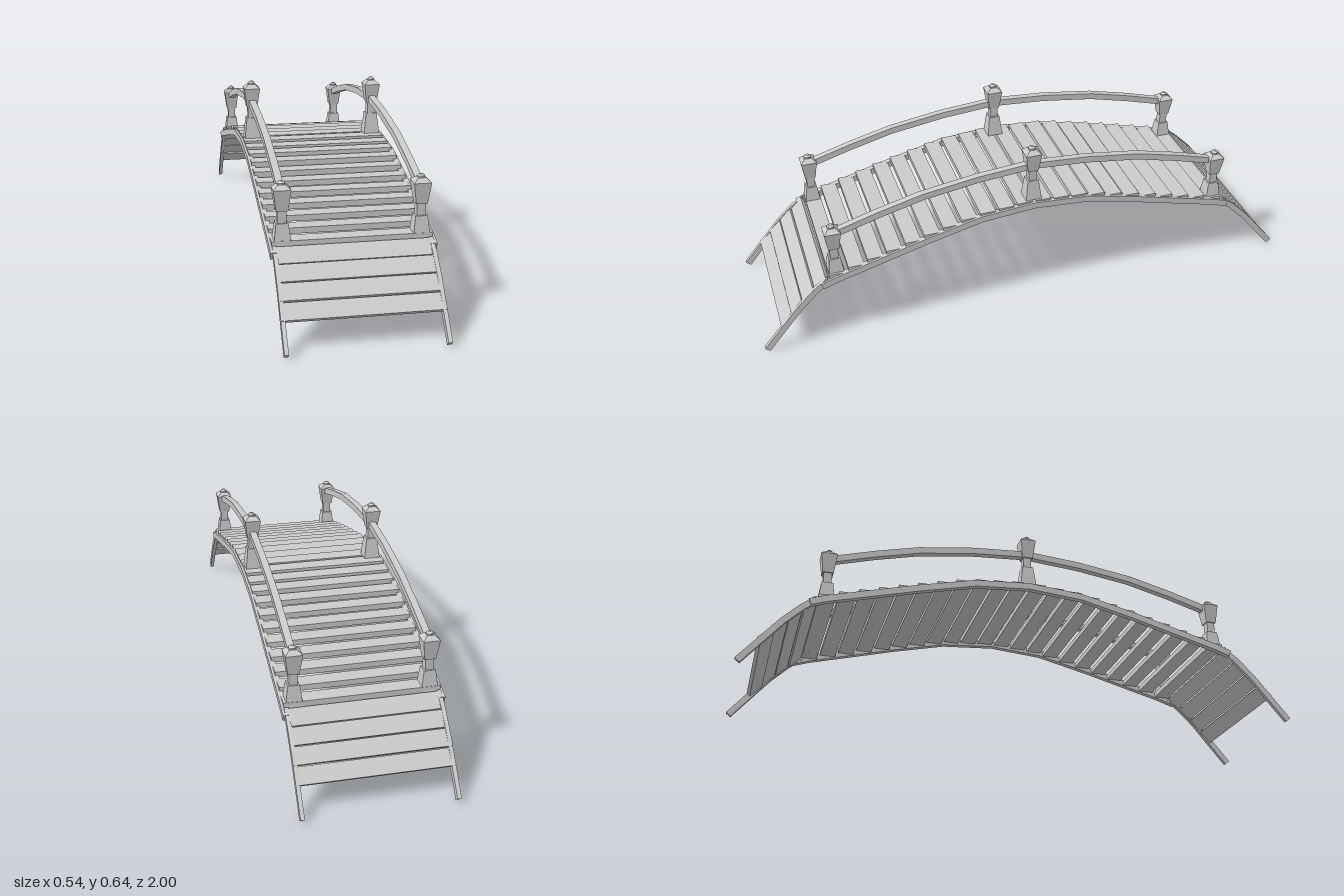
import * as THREE from 'three';

const material = new THREE.MeshStandardMaterial({ color: 0xcccccc, flatShading: true });

function add(parent, name, geometry, x = 0, y = 0, z = 0) {
  const mesh = new THREE.Mesh(geometry, material);
  mesh.name = name;
  mesh.position.set(x, y, z);
  parent.add(mesh);
  return mesh;
}

// Mirror a half path of [z, y] points, given from the crown outwards
const mirrorPath = (half) => [...half.slice(1).reverse().map(([z, y]) => [-z, y]), ...half];

// A beam of rectangular section following [z, y] points, centred on x = 0
function beam(path, thickness, width) {
  const upper = [], lower = [];
  path.forEach(([z, y], i) => {
    const a = path[Math.max(i - 1, 0)], b = path[Math.min(i + 1, path.length - 1)];
    const n = new THREE.Vector2(-(b[1] - a[1]), b[0] - a[0]).setLength(thickness / 2);
    upper.push(new THREE.Vector2(z + n.x, y + n.y));
    lower.unshift(new THREE.Vector2(z - n.x, y - n.y));
  });
  const geometry = new THREE.ExtrudeGeometry(new THREE.Shape([...lower, ...upper]), { depth: width, bevelEnabled: false });
  return geometry.translate(0, 0, -width / 2).rotateY(-Math.PI / 2);
}

// Height of the deck beam at a given z
const deckHalf = [[0, 0.414], [0.2, 0.398], [0.4, 0.35], [0.72, 0.264], [0.775, 0.245]];
function deckHeight(z) {
  const d = Math.abs(z);
  const i = Math.max(1, deckHalf.findIndex((p) => p[0] >= d));
  const [a, b] = [deckHalf[i - 1], deckHalf[i]];
  return THREE.MathUtils.mapLinear(d, a[0], b[0], a[1], b[1]);
}

// Square tapered post: [height, bottom half width, top half width] per block
const postBlocks = [
  ['postBase', 0.075, 0.029, 0.02],
  ['postNeck', 0.04, 0.0145, 0.0145],
  ['postHead', 0.07, 0.019, 0.0285],
  ['postRoof', 0.014, 0.0285, 0.013],
];
function createPost() {
  const post = new THREE.Group();
  post.name = 'post';
  let y = 0;
  for (const [name, h, bottom, top] of postBlocks) {
    const g = new THREE.CylinderGeometry(top * Math.SQRT2, bottom * Math.SQRT2, h, 4).rotateY(Math.PI / 4);
    add(post, name, g, 0, y + h / 2, 0);
    y += h;
  }
  add(post, 'finial', new THREE.CylinderGeometry(0.013, 0.013, 0.005, 8), 0, y + 0.0025, 0);
  add(post, 'finialTop', new THREE.CylinderGeometry(0.006, 0.013, 0.006, 8), 0, y + 0.008, 0);
  return post;
}

export function createModel() {
  const bridge = new THREE.Group();
  bridge.name = 'footbridge';

  const railPath = mirrorPath([[0, 0.562], [0.2, 0.547], [0.4, 0.518], [0.56, 0.478], [0.725, 0.43]]);
  const rampHalf = [[0.75, 0.263], [0.8, 0.224], [0.86, 0.165], [0.992, 0.007]];

  for (const side of [-1, 1]) {
    // Arched side beams and handrails
    add(bridge, 'deckBeam', beam(mirrorPath(deckHalf), 0.024, 0.02), side * 0.258);
    add(bridge, 'handrail', beam(railPath, 0.024, 0.024), side * 0.224);

    // Ramp runners at both ends
    for (const end of [-1, 1]) {
      const path = rampHalf.map(([z, y]) => [z * end, y]);
      if (end < 0) path.reverse();
      add(bridge, 'rampRunner', beam(path, 0.022, 0.014), side * 0.253);
    }

    // Posts at the crown and both ends of the deck
    for (const z of [-0.72, 0, 0.72]) {
      const post = createPost();
      post.position.set(side * 0.2245, z === 0 ? 0.43 : 0.262, z);
      bridge.add(post);
    }
  }

  // Level deck planks, stepping up with the arch
  const pitch = 0.0685;
  for (let i = -11; i < 11; i++) {
    const z = (i + 0.5) * pitch;
    add(bridge, 'deckPlank', new THREE.BoxGeometry(0.52, 0.02, 0.057), 0, deckHeight(z) + 0.008, z);
  }

  // Sloping ramp planks
  const low = new THREE.Vector2(0.928, 0.087), high = new THREE.Vector2(0.752, 0.264);
  const run = low.distanceTo(high) / 4;
  const slope = Math.atan2(high.y - low.y, low.x - high.x);
  for (const end of [-1, 1]) {
    for (let i = 0; i < 4; i++) {
      const p = low.clone().lerp(high, (i + 0.5) / 4);
      const bulge = i === 1 || i === 2 ? 0.005 : 0.002;
      const plank = add(bridge, 'rampPlank', new THREE.BoxGeometry(0.52, 0.016, run - 0.004), 0, p.y + bulge, end * (p.x + bulge));
      plank.rotation.x = end * slope;
    }
  }
  return bridge;
}
